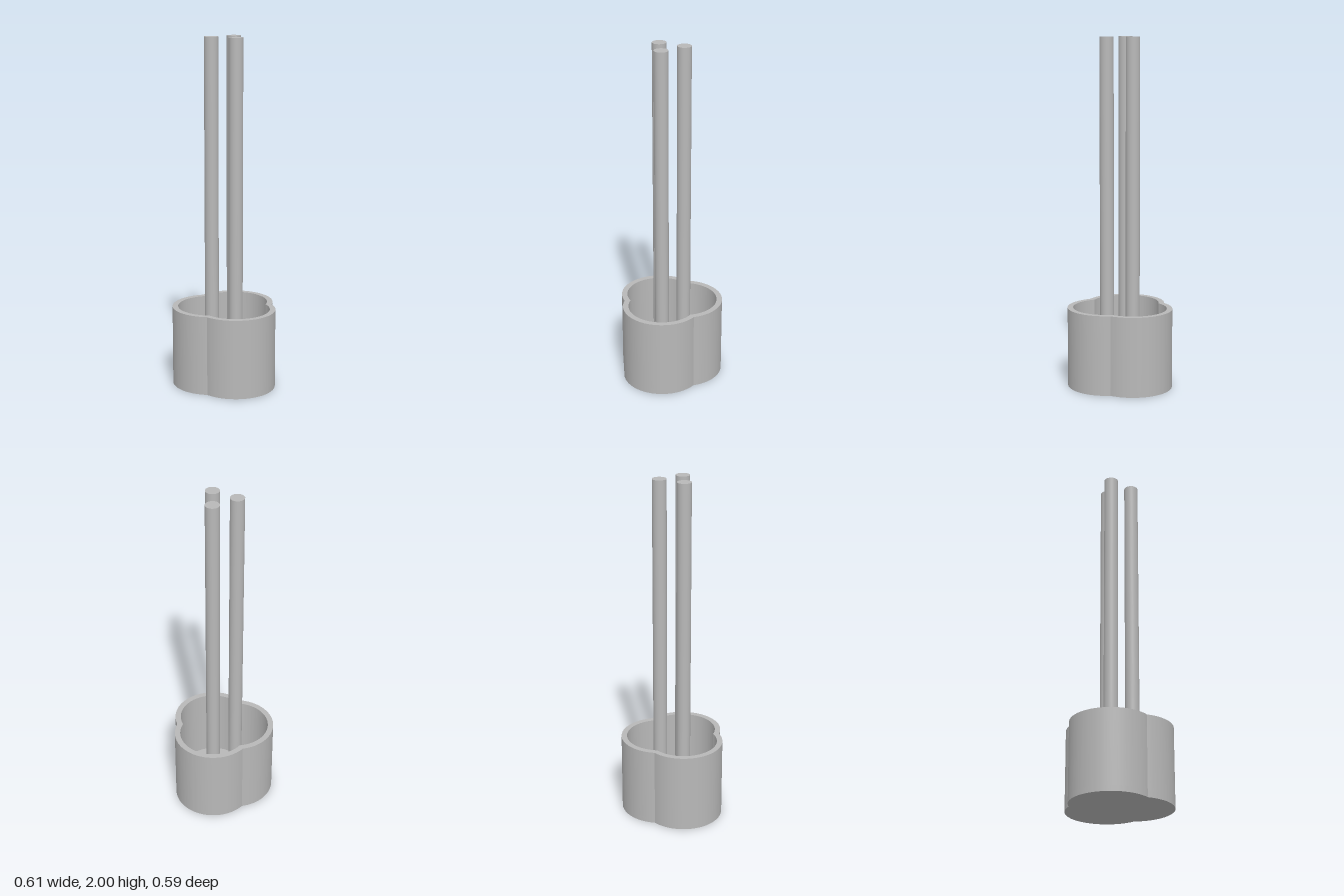
import * as THREE from 'three';
import { toCreasedNormals } from 'three/addons/utils/BufferGeometryUtils.js';

const SPREAD = 0.0875; // distance of each lobe centre from the middle of the trefoil
const OFFSET_Z = 0.0205; // shift that centres the whole model on z
const WALL_HEIGHT = 0.46;
const FLOOR = 0.032;
const BOSS_TOP = 0.1;

const lobeAngle = (i) => Math.PI / 2 + (i * 2 * Math.PI) / 3;

// Outline of three overlapping circles of radius r
function trefoil(r, PathType = THREE.Shape) {
  const path = new PathType();
  const d = (SPREAD + Math.sqrt(4 * r * r - 3 * SPREAD * SPREAD)) / 2;
  const half = Math.atan2(d * Math.sin(Math.PI / 3), d / 2 - SPREAD);
  for (let i = 0; i < 3; i++) {
    const a = lobeAngle(i);
    path.absarc(SPREAD * Math.cos(a), SPREAD * Math.sin(a), r, a - half, a + half, false);
  }
  path.closePath();
  return path;
}

// Upright prism from y0 to y1 with smooth curves and sharp edges
function prism(name, shape, y0, y1, material) {
  const geometry = new THREE.ExtrudeGeometry(shape, { depth: y1 - y0, bevelEnabled: false, curveSegments: 40 });
  geometry.rotateX(-Math.PI / 2);
  geometry.translate(0, y0, OFFSET_Z);
  const mesh = new THREE.Mesh(toCreasedNormals(geometry, 0.4), material);
  mesh.name = name;
  return mesh;
}

export function createModel() {
  const model = new THREE.Group();
  model.name = 'threeRodHolder';
  const grey = new THREE.MeshStandardMaterial({ color: 0xb8b8b8 });
  grey.name = 'grey';

  // Cup: closed floor and thin trefoil wall
  const cup = new THREE.Group();
  cup.name = 'cup';
  const wall = trefoil(0.227);
  wall.holes.push(trefoil(0.195, THREE.Path));
  cup.add(prism('cupFloor', trefoil(0.227), 0, FLOOR, grey));
  cup.add(prism('cupWall', wall, FLOOR, WALL_HEIGHT, grey));
  model.add(cup);

  // Raised boss that carries the rods
  model.add(prism('rodBoss', trefoil(0.103), FLOOR, BOSS_TOP, grey));

  // Three tall rods
  for (let i = 0; i < 3; i++) {
    const a = lobeAngle(i);
    const rod = new THREE.Mesh(new THREE.CylinderGeometry(0.04, 0.04, 2 - BOSS_TOP, 48), grey);
    rod.position.set(SPREAD * Math.cos(a), (2 + BOSS_TOP) / 2, OFFSET_Z - SPREAD * Math.sin(a));
    rod.name = `rod${i + 1}`;
    model.add(rod);
  }
  return model;
}
